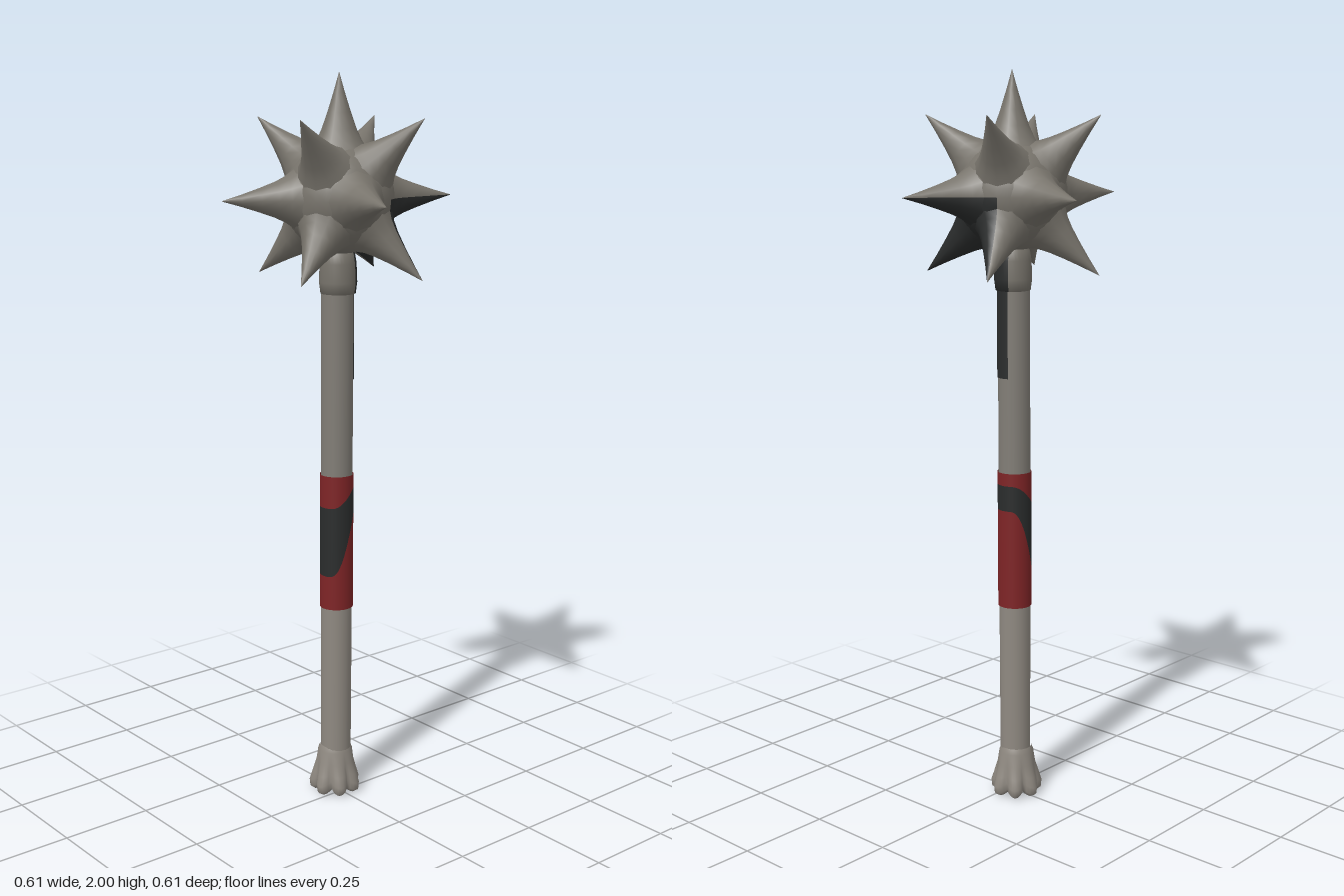
import * as THREE from 'three';

const rad = THREE.MathUtils.degToRad;
const V = (x, y) => new THREE.Vector2(x, y);
const mat = (name, color, side = THREE.FrontSide) => {
  const m = new THREE.MeshStandardMaterial({ color, side });
  m.name = name;
  return m;
};

export function createModel() {
  const group = new THREE.Group();
  const steel = mat('steel', 0x77736b);
  const shaftGrey = mat('shaftGrey', 0x8f8981);
  const upperGrey = mat('upperShaftGrey', 0x817d76);
  const red = mat('redWrap', 0x7e2426, THREE.DoubleSide);
  const black = mat('blackWrap', 0x2a2c2c, THREE.DoubleSide);

  const add = (name, geo, material, x = 0, y = 0, z = 0) => {
    const mesh = new THREE.Mesh(geo, material);
    mesh.name = name;
    mesh.position.set(x, y, z);
    group.add(mesh);
    return mesh;
  };

  // Sooty quarter of the head: sort faces into clean and dark groups
  const sectorStart = -116.5, sectorEnd = -26.5;
  const soot = (geo, topY) => {
    const p = geo.attributes.position, idx = geo.index.array;
    const clean = [], dark = [];
    for (let i = 0; i < idx.length; i += 3) {
      const t = [idx[i], idx[i + 1], idx[i + 2]];
      let x = 0, y = 0, z = 0;
      for (const k of t) { x += p.getX(k) / 3; y += p.getY(k) / 3; z += p.getZ(k) / 3; }
      const a = THREE.MathUtils.radToDeg(Math.atan2(z, x));
      (y < topY && a > sectorStart && a < sectorEnd ? dark : clean).push(...t);
    }
    geo.setIndex([...clean, ...dark]);
    geo.addGroup(0, clean.length, 0);
    geo.addGroup(clean.length, dark.length, 1);
    return geo;
  };
  const headMats = [steel, black];
  const cx = -0.015, cy = 1.68, cz = -0.005;

  // Ball
  const ball = new THREE.SphereGeometry(0.147, 32, 20);
  ball.rotateY(rad(26.5));
  add('ball', soot(ball, 0), headMats, cx, cy, cz);

  // Flared spikes: one on top, a ring of four, and four above and below
  const spikeProfile = [V(0.08, 0.12), V(0.06, 0.148), V(0.046, 0.178), V(0.031, 0.22), V(0.015, 0.27), V(0.0005, 0.32)];
  const addSpike = (name, elevation, azimuth, length = 1) => {
    const geo = new THREE.LatheGeometry(spikeProfile, 12);
    geo.scale(1, length, 1);
    geo.rotateX(rad(90 - elevation));
    geo.rotateY(rad(90 - azimuth));
    add(name, soot(geo, 0), headMats, cx, cy, cz);
  };
  addSpike('topSpike', 90, 0);
  for (let i = 0; i < 4; i++) {
    addSpike('sideSpike', 0, 18.5 + i * 90);
    addSpike('upperSpike', 41, -26.5 + i * 90, 0.98);
    addSpike('lowerSpike', -41, -26.5 + i * 90, 0.98);
  }

  // Collar under the ball
  const collar = new THREE.LatheGeometry(
    [V(0.03, 1.425), V(0.047, 1.43), V(0.051, 1.46), V(0.049, 1.51), V(0.045, 1.535), V(0.03, 1.56)], 32);
  collar.rotateY(rad(26.5 - 90));
  add('collar', soot(collar, 2), headMats, -0.017, 0, -0.003);

  // Shaft, leaning very slightly
  const shaftX = y => -0.024 + 0.007 * y / 1.45;
  const lean = geo => {
    const p = geo.attributes.position;
    for (let i = 0; i < p.count; i++) p.setX(i, p.getX(i) + shaftX(p.getY(i)));
    return geo;
  };
  const tube = (y0, y1, r0, r1) => lean(new THREE.CylinderGeometry(r1, r0, y1 - y0, 20).translate(0, (y0 + y1) / 2, 0));
  add('lowerShaft', tube(0.08, 0.7, 0.042, 0.0435), shaftGrey);
  add('upperShaft', tube(0.7, 1.45, 0.0435, 0.0435), upperGrey);

  // Dark streak on the back of the shaft
  const streak = new THREE.CylinderGeometry(0.0455, 0.0455, 0.24, 6, 1, true, rad(135), rad(65));
  add('shaftStreak', lean(streak.translate(0, 1.315, 0)), black);

  // Grip wrap: sleeves whose edges follow a height around the shaft
  const sleeve = (name, low, high, material) => {
    const geo = new THREE.CylinderGeometry(0.0462, 0.0462, 1, 32, 1, true);
    const p = geo.attributes.position;
    for (let i = 0; i < p.count; i++) {
      const turn = THREE.MathUtils.smoothstep((1 - p.getZ(i) / 0.0462) / 2, 0.05, 0.95);
      p.setY(i, (p.getY(i) > 0 ? high : low)(turn));
    }
    add(name, lean(geo), material);
  };
  const blackLow = t => 0.65 + 0.18 * t;
  const blackHigh = t => 0.845 + 0.055 * t;
  sleeve('lowerRedWrap', () => 0.555, blackLow, red);
  sleeve('blackWrap', blackLow, blackHigh, black);
  sleeve('upperRedWrap', blackHigh, () => 0.935, red);

  // Flared foot with rounded lobes
  const foot = new THREE.LatheGeometry(
    [V(0.0005, 0.03), V(0.035, 0.018), V(0.055, 0), V(0.067, 0.008), V(0.069, 0.028), V(0.062, 0.055),
      V(0.053, 0.09), V(0.048, 0.125), V(0.042, 0.14)], 56);
  const p = foot.attributes.position;
  for (let i = 0; i < p.count; i++) {
    const x = p.getX(i), y = p.getY(i), z = p.getZ(i);
    const wave = Math.abs(Math.sin(3.5 * Math.atan2(z, x)));
    const amount = 1 - THREE.MathUtils.smoothstep(y, 0.02, 0.11);
    const s = 1 + amount * 0.28 * (wave - 0.78);
    p.setXYZ(i, x * s, y + amount * 0.014 * (1 - wave), z * s);
  }
  foot.computeVertexNormals();
  add('foot', foot, shaftGrey, -0.027, 0, 0);

  return group;
}
